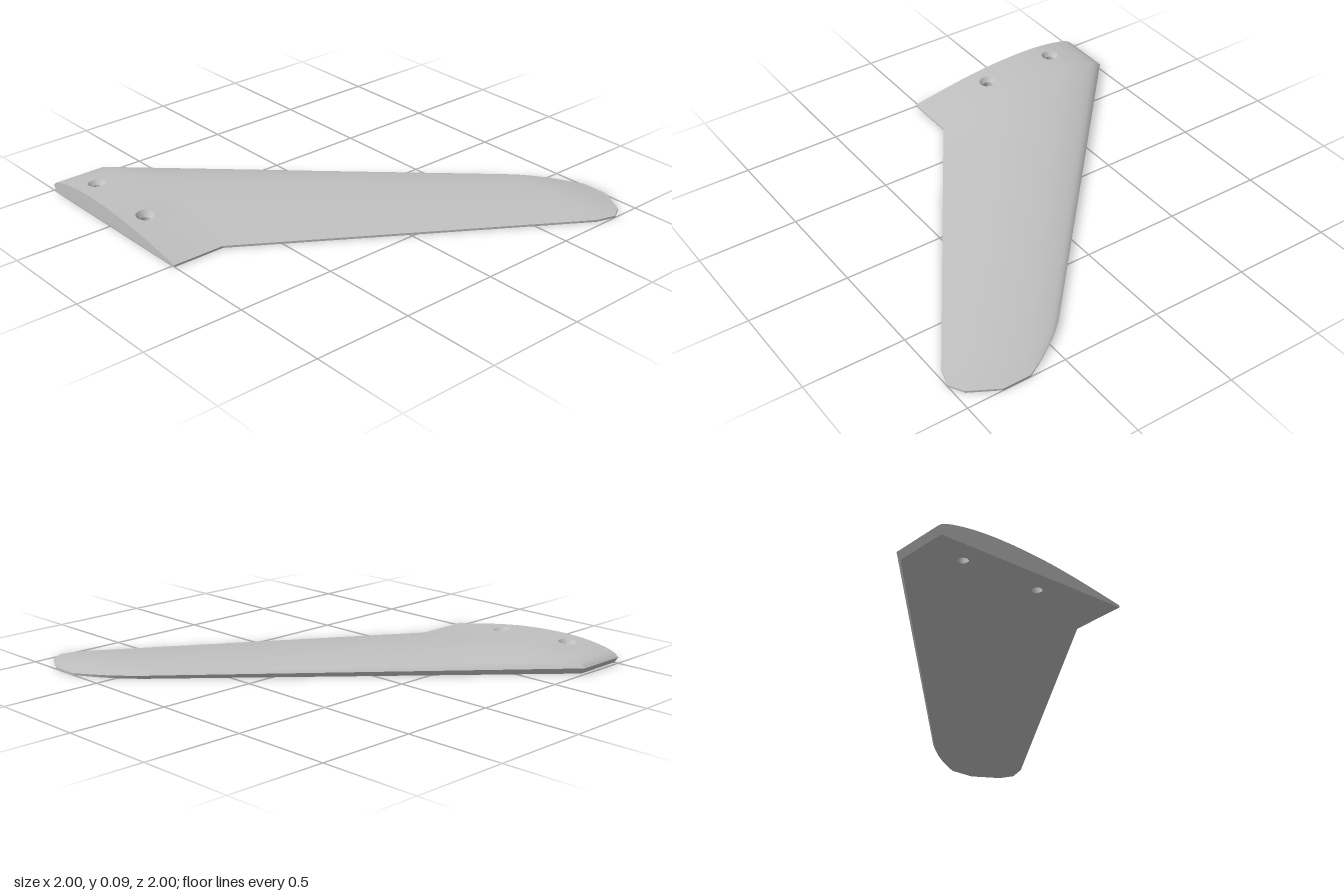
import * as THREE from 'three';
import { toCreasedNormals } from 'three/addons/utils/BufferGeometryUtils.js';

// Airfoil height along the chord (0 = leading edge, 1 = trailing edge)
const CHORD = [0, 0.02, 0.05, 0.1, 0.15, 0.2, 0.3, 0.4, 0.5, 0.6, 0.7, 0.8, 0.9, 1];
const HEIGHT = [0.03, 0.047, 0.059, 0.071, 0.079, 0.085, 0.09, 0.089, 0.084, 0.075, 0.062, 0.046, 0.028, 0.01];
const EDGE = 0.01;
const COLS = 48;
const U = [0, 0.007];
for (let i = 1; i <= COLS; i++) U.push(i / COLS);
const CHAMFER = 2; // column where the flat underside begins

const foil = new THREE.CubicInterpolant(CHORD, HEIGHT, 1);
const foilHeight = (u) => foil.evaluate(u)[0];

// Root block, between z = ROOT_Z and z = 1
const ROOT_Z = 0.73, ROOT_L = -1, ROOT_R = 0.015;
const rootX = (u) => ROOT_L + (ROOT_R - ROOT_L) * u;
const rootHeight = (x) => foilHeight((x - ROOT_L) / (ROOT_R - ROOT_L));

// Rounded tip: z, left x, right x, thickness factor
const TIP = [
  [-0.75, 0.345, 0.97, 0.4], [-0.8, 0.39, 0.985, 0.37], [-0.85, 0.445, 1, 0.3],
  [-0.885, 0.49, 0.98, 0.24], [-0.92, 0.54, 0.96, 0.175], [-0.96, 0.607, 0.89, 0.09], [-1, 0.68, 0.82, 0],
];

// Screw holes: first and last column of the surrounding patch, centre x
const HOLES = [{ from: 7, to: 16, x: -0.777 }, { from: 26, to: 35, x: -0.37 }];
const HOLE_Z = 0.89, RIM_R = 0.045, BORE_R = 0.024;

function sectionAt([z, left, right, k]) {
  const x = (u) => left + (right - left) * u;
  const top = U.map((u) => new THREE.Vector3(x(u), EDGE + (foilHeight(u) - EDGE) * k, z));
  const bottom = U.map((u, i) => new THREE.Vector3(x(U[Math.max(i, CHAMFER)]), 0, z));
  return { top, bottom };
}

function createFinGeometry() {
  const positions = [];
  const tri = (a, b, c) => {
    const area = b.clone().sub(a).cross(c.clone().sub(a)).length();
    if (area > 1e-9) for (const p of [a, b, c]) positions.push(p.x, p.y, p.z);
  };
  const quad = (a, b, c, d) => { tri(a, b, c); tri(a, c, d); };

  // Skin between two neighbouring sections
  const skin = (s, t, skip = () => false) => {
    for (let i = 0; i < COLS + 1; i++) {
      if (skip(i)) continue;
      quad(s.top[i], s.top[i + 1], t.top[i + 1], t.top[i]);
      quad(s.bottom[i + 1], s.bottom[i], t.bottom[i], t.bottom[i + 1]);
    }
    quad(s.bottom[0], s.top[0], t.top[0], t.bottom[0]);
    const n = COLS + 1;
    quad(s.top[n], s.bottom[n], t.bottom[n], t.top[n]);
  };

  // Sections from root to tip
  const front = sectionAt([1, ROOT_L, ROOT_R, 1]);
  const start = [ROOT_Z, ROOT_L, ROOT_R, 1];
  const sections = [];
  const steps = 14;
  for (let i = 0; i < steps; i++) {
    sections.push(sectionAt(start.map((v, j) => THREE.MathUtils.lerp(v, TIP[0][j], i / steps))));
  }
  TIP.forEach((row) => sections.push(sectionAt(row)));

  skin(front, sections[0], (i) => HOLES.some((h) => i >= h.from && i < h.to));
  for (let i = 0; i + 1 < sections.length; i++) skin(sections[i], sections[i + 1]);

  // End faces
  const tip = sections[sections.length - 1];
  for (let i = 0; i < COLS + 1; i++) {
    quad(front.bottom[i], front.bottom[i + 1], front.top[i + 1], front.top[i]);
    quad(tip.bottom[i + 1], tip.bottom[i], tip.top[i], tip.top[i + 1]);
  }

  // Patches with countersunk through-holes
  for (const { from, to, x: cx } of HOLES) {
    const outline = [];
    const sides = 8;
    for (let i = 0; i < sides; i++) outline.push([rootX(U[to]), 1 + (ROOT_Z - 1) * i / sides]);
    for (let i = to; i > from; i--) outline.push([rootX(U[i]), ROOT_Z]);
    for (let i = 0; i < sides; i++) outline.push([rootX(U[from]), ROOT_Z + (1 - ROOT_Z) * i / sides]);
    for (let i = from; i < to; i++) outline.push([rootX(U[i]), 1]);

    const circle = (r, y) => outline.map(([x, z]) => {
      const a = Math.atan2(z - HOLE_Z, x - cx);
      const px = cx + r * Math.cos(a);
      return new THREE.Vector3(px, y ?? rootHeight(px), HOLE_Z + r * Math.sin(a));
    });
    const rim = circle(RIM_R);
    const rings = [];
    for (let j = 0; j < 5; j++) {
      rings.push(outline.map(([x, z], i) => {
        const p = new THREE.Vector3(x, 0, z).lerp(rim[i], j / 5);
        p.y = rootHeight(p.x);
        return p;
      }));
    }
    rings.push(rim, circle(BORE_R, rootHeight(cx) - 0.024), circle(BORE_R, 0));
    rings.push(outline.map(([x, z]) => new THREE.Vector3(x, 0, z)));

    for (let j = 0; j + 1 < rings.length; j++) {
      const a = rings[j], b = rings[j + 1];
      for (let i = 0; i < outline.length; i++) {
        const n = (i + 1) % outline.length;
        quad(a[i], a[n], b[n], b[i]);
      }
    }
  }

  const geometry = new THREE.BufferGeometry();
  geometry.setAttribute('position', new THREE.Float32BufferAttribute(positions, 3));
  return toCreasedNormals(geometry, 0.5);
}

export function createModel() {
  const grey = new THREE.MeshStandardMaterial({ color: 0xc0c0c0 });
  grey.name = 'light grey';
  const fin = new THREE.Mesh(createFinGeometry(), grey);
  fin.name = 'finBlade';
  const model = new THREE.Group();
  model.name = 'fin';
  model.add(fin);
  return model;
}
